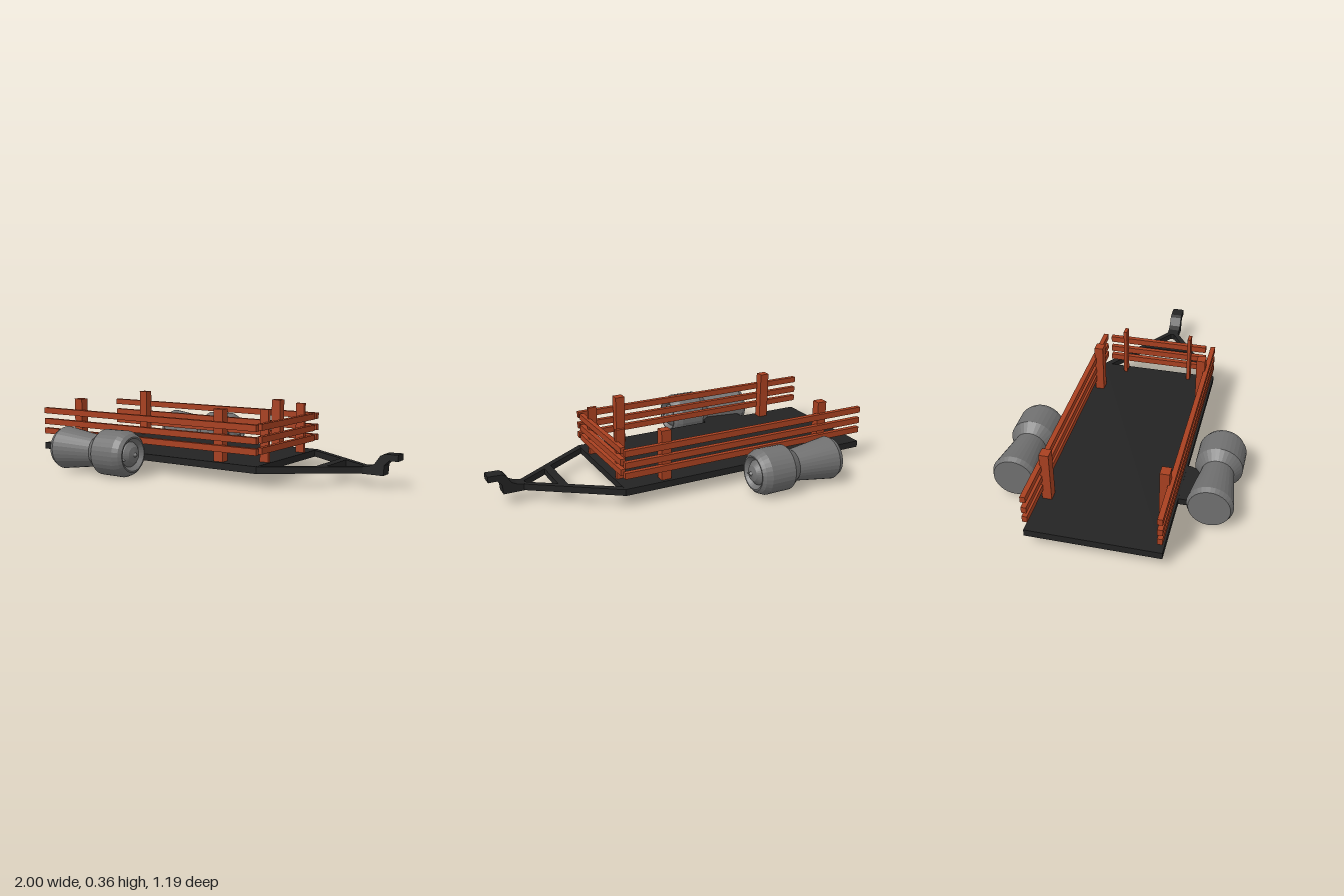
import * as THREE from 'three';

export function createModel() {
  const model = new THREE.Group();
  model.name = 'hoverTrailer';

  const mat = (name, color) => {
    const m = new THREE.MeshStandardMaterial({ color, flatShading: true });
    m.name = name;
    return m;
  };
  const frame = mat('blackFrame', 0x232323);
  const wood = mat('rustWood', 0xa84020);
  const metal = mat('greyMetal', 0x707070);

  const add = (name, geometry, material, parent = model) => {
    const mesh = new THREE.Mesh(geometry, material);
    mesh.name = name;
    parent.add(mesh);
    return mesh;
  };
  // Box given by its limits on each axis
  const box = (name, material, [x0, x1], [y0, y1], [z0, z1]) => {
    const mesh = add(name, new THREE.BoxGeometry(x1 - x0, y1 - y0, z1 - z0), material);
    mesh.position.set((x0 + x1) / 2, (y0 + y1) / 2, (z0 + z1) / 2);
    return mesh;
  };
  const outline = (points) => new THREE.Shape(points.map(([x, y]) => new THREE.Vector2(x, y)));
  // Flat plate drawn in x and z, filling the frame height
  const plate = (name, points) => {
    const g = new THREE.ExtrudeGeometry(outline(points), { depth: 0.033, bevelEnabled: false });
    g.rotateX(-Math.PI / 2);
    return add(name, g.translate(0, 0.066, 0), frame);
  };

  // Load bed
  box('deck', frame, [-1, 0.405], [0.065, 0.1], [-0.32, 0.32]);

  // Slatted fence on both sides and the hitch end
  for (const y of [0.152, 0.206, 0.267]) {
    const height = [y, y + 0.032];
    box('leftRail', wood, [-1, 0.405], height, [0.295, 0.32]);
    box('rightRail', wood, [-1, 0.405], height, [-0.32, -0.295]);
    box('endRail', wood, [0.383, 0.408], height, [-0.27, 0.27]);
  }
  for (const side of [1, -1]) {
    const across = (a, b) => (side > 0 ? [a, b] : [-b, -a]);
    for (const x of [-0.78, 0.15]) {
      box('sidePost', wood, [x, x + 0.052], [0.098, 0.36], across(0.257, 0.303));
    }
    box('endPost', wood, [0.347, 0.395], [0.098, 0.36], across(0.172, 0.19));

    // Drawbar arm
    plate('drawbarArm', [
      [0.395, 0.32 * side], [0.405, 0.32 * side], [0.83, 0.028 * side],
      [0.83, -0.004 * side], [0.4, 0.284 * side],
    ]);

    // Bracket carrying the engine
    plate('engineBracket', [
      [-0.64, 0.3 * side], [-0.395, 0.3 * side], [-0.395, 0.34 * side],
      [-0.415, 0.385 * side], [-0.45, 0.41 * side], [-0.64, 0.41 * side],
    ]);
  }
  box('drawbarCrosspiece', frame, [0.63, 0.673], [0.066, 0.099], [-0.135, 0.135]);

  // Raised hitch
  const hitch = new THREE.ExtrudeGeometry(outline([
    [0.81, 0.065], [0.928, 0.065], [0.932, 0.115], [0.955, 0.139], [1, 0.139],
    [1, 0.171], [0.93, 0.169], [0.912, 0.16], [0.882, 0.118], [0.855, 0.105], [0.81, 0.098],
  ]), { depth: 0.064, bevelEnabled: false });
  add('hitch', hitch.translate(0, 0, -0.032), frame);

  // Engine pods: profile is radius against x, from tail to nose
  const profile = [
    [0, -0.7], [0.1, -0.7], [0.112, -0.675], [0.081, -0.45], [0.117, -0.4], [0.118, -0.265],
    [0.105, -0.235], [0.09, -0.22], [0.083, -0.22], [0.064, -0.242], [0.06, -0.235],
    [0.04, -0.216], [0.012, -0.208], [0, -0.193],
  ].map(([r, x]) => new THREE.Vector2(r, x));
  for (const z of [0.475, -0.475]) {
    const engine = new THREE.Group();
    engine.name = z > 0 ? 'leftEngine' : 'rightEngine';
    engine.position.set(0, 0.121, z);
    model.add(engine);
    add('engineBody', new THREE.LatheGeometry(profile, 32).rotateZ(-Math.PI / 2), metal, engine);
    const fin = add('noseFin', new THREE.ConeGeometry(0.014, 0.03, 4), metal, engine);
    fin.rotation.z = -Math.PI / 2;
    fin.position.set(-0.235, -0.022, 0.06);
  }
  return model;
}
